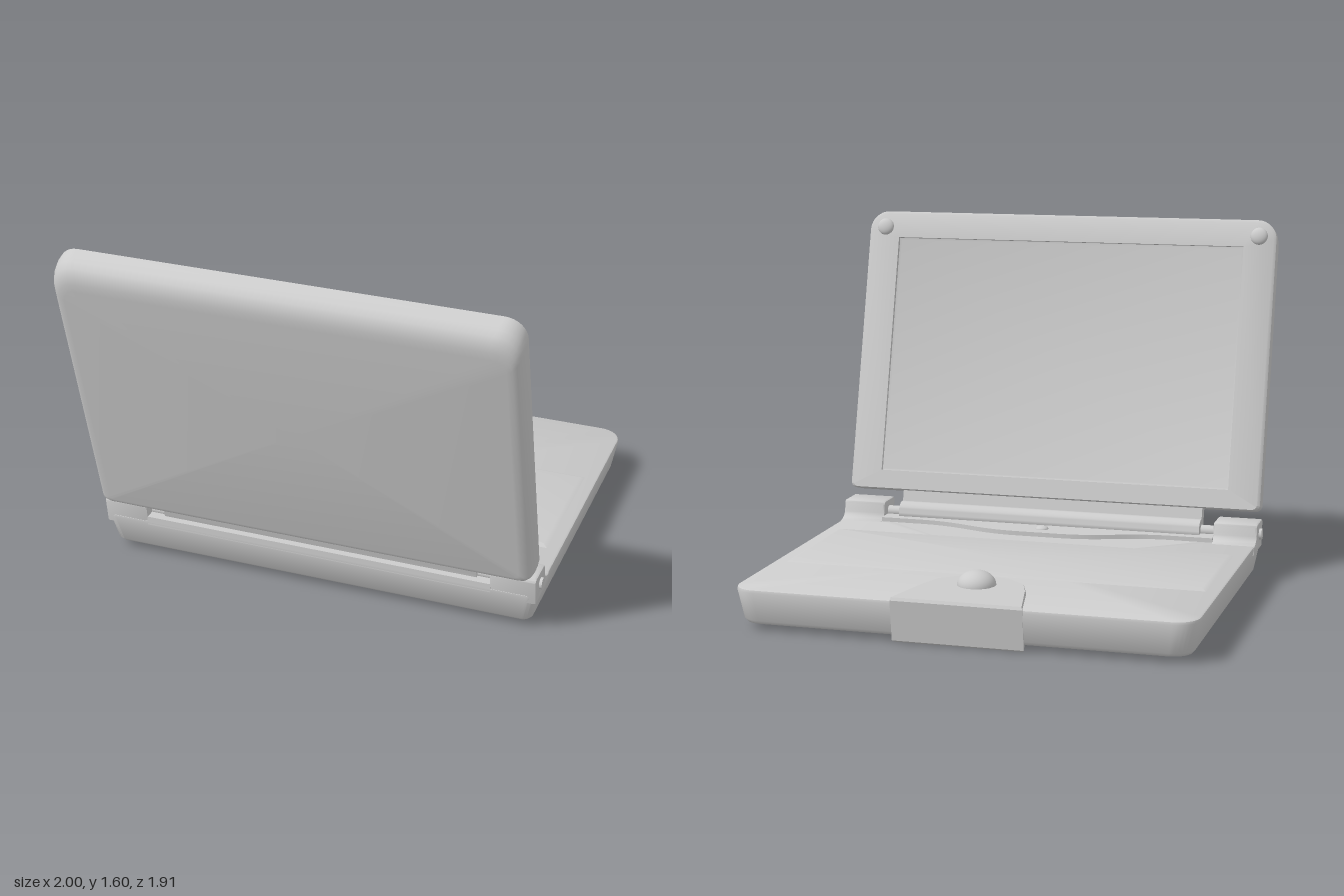
import * as THREE from 'three';
import { toCreasedNormals } from 'three/addons/utils/BufferGeometryUtils.js';

const material = new THREE.MeshStandardMaterial({ color: 0xcccccc });

function add(parent, name, geometry, x = 0, y = 0, z = 0) {
  const mesh = new THREE.Mesh(geometry, material);
  mesh.name = name;
  mesh.position.set(x, y, z);
  parent.add(mesh);
  return mesh;
}

// Counter-clockwise rectangle with separate radii for the low and high corners
function ring(level, x, low, high, rLow, rHigh, steps = 8) {
  const points = [];
  const corners = [[x, high, rHigh], [-x, high, rHigh], [-x, low, rLow], [x, low, rLow]];
  corners.forEach(([cx, cy, r], q) => {
    for (let i = 0; i <= steps; i++) {
      const a = (q + i / steps) * Math.PI / 2;
      points.push([
        cx - Math.sign(cx) * r + r * Math.cos(a),
        cy + (cy === high ? -r : r) + r * Math.sin(a),
        level,
      ]);
    }
  });
  return points;
}

// Skin a stack of equal-length rings along +z and cap both ends
function loft(rings, crease = 0.6) {
  const n = rings[0].length;
  const positions = rings.flat(2);
  const index = [];
  for (let k = 0; k < rings.length - 1; k++) {
    for (let i = 0; i < n; i++) {
      const a = k * n + i, b = k * n + (i + 1) % n;
      index.push(a, b, b + n, a, b + n, a + n);
    }
  }
  [0, rings.length - 1].forEach((k, end) => {
    const c = positions.length / 3;
    for (let d = 0; d < 3; d++) positions.push(rings[k].reduce((s, p) => s + p[d], 0) / n);
    for (let i = 0; i < n; i++) {
      const a = k * n + i, b = k * n + (i + 1) % n;
      if (end) index.push(c, a, b);
      else index.push(c, b, a);
    }
  });
  const g = new THREE.BufferGeometry();
  g.setAttribute('position', new THREE.Float32BufferAttribute(positions, 3));
  g.setIndex(index);
  return toCreasedNormals(g, crease);
}

// Loft drawn in plan: local y becomes -z, level becomes height
const planLoft = (rings) => loft(rings).rotateX(-Math.PI / 2);

// Low dome standing on y = 0
function dome(radius, height) {
  return new THREE.SphereGeometry(radius, 32, 12, 0, Math.PI * 2, 0, Math.PI / 2)
    .scale(1, height / radius, 1);
}

function rod(radius, length) {
  return new THREE.CylinderGeometry(radius, radius, length, 32).rotateZ(Math.PI / 2);
}

function buildBase(parent) {
  const base = new THREE.Group();
  base.name = 'base';
  parent.add(base);

  // Tapered tray; the plan's low side is the hinge side
  add(base, 'baseBody', planLoft([
    ring(0.022, 0.935, -0.51, 0.895, 0.03, 0.07),
    ring(0.027, 0.95, -0.525, 0.91, 0.035, 0.08),
    ring(0.042, 0.962, -0.54, 0.922, 0.04, 0.09),
    ring(0.165, 0.986, -0.568, 0.944, 0.04, 0.1),
    ring(0.176, 0.984, -0.568, 0.941, 0.04, 0.1),
    ring(0.18, 0.977, -0.565, 0.934, 0.04, 0.095),
  ]));

  // Raised keyboard plate with a bevelled edge
  add(base, 'keyboardPlate', planLoft([
    ring(0.17, 0.93, -0.185, 0.46, 0.003, 0.003, 1),
    ring(0.179, 0.93, -0.185, 0.46, 0.003, 0.003, 1),
    ring(0.188, 0.908, -0.163, 0.438, 0.003, 0.003, 1),
  ]));

  // Hinge cover with a curved front edge
  const cover = new THREE.Shape();
  cover.moveTo(0.79, -0.568);
  cover.lineTo(0.79, -0.395);
  cover.lineTo(0.58, -0.395);
  cover.bezierCurveTo(0.36, -0.385, 0.32, -0.295, 0.1, -0.292);
  cover.lineTo(-0.1, -0.292);
  cover.bezierCurveTo(-0.32, -0.295, -0.36, -0.385, -0.58, -0.395);
  cover.lineTo(-0.79, -0.395);
  cover.lineTo(-0.79, -0.568);
  const coverGeo = new THREE.ExtrudeGeometry(cover, { depth: 0.04, bevelEnabled: false, curveSegments: 16 });
  add(base, 'hingeCover', toCreasedNormals(coverGeo.rotateX(-Math.PI / 2), 0.5), 0, 0.16, 0);
  add(base, 'powerButton', dome(0.03, 0.016), 0, 0.199, 0.37);

  // Hinge housings at both rear corners
  const profile = new THREE.Shape();
  profile.moveTo(0.562, 0.14);
  profile.lineTo(0.577, 0.245);
  profile.quadraticCurveTo(0.578, 0.263, 0.56, 0.265);
  profile.lineTo(0.45, 0.265);
  profile.quadraticCurveTo(0.434, 0.265, 0.433, 0.25);
  profile.lineTo(0.428, 0.22);
  profile.quadraticCurveTo(0.42, 0.182, 0.36, 0.179);
  profile.lineTo(0.36, 0.14);
  const housing = new THREE.ExtrudeGeometry(profile, {
    depth: 0.18, bevelThickness: 0.01, bevelSize: 0.006, bevelOffset: -0.006, bevelSegments: 3, curveSegments: 8,
  });
  housing.translate(0, 0, -0.09).rotateY(-Math.PI / 2).scale(1, 1, 1);
  const housingGeo = toCreasedNormals(housing, 0.6);
  for (const s of [1, -1]) add(base, 'hingeHousing', housingGeo, s * 0.888, 0, 0);
  add(base, 'hingePin', rod(0.025, 2), 0, 0.21, 0.5);
}

function buildLatch(parent) {
  // Tapered tongue wrapping the front edge, with a round knob
  const latch = new THREE.Group();
  latch.name = 'latch';
  parent.add(latch);
  const outline = (level, front, inset) => {
    const half = [[0.28, front], [0.225, 0.7], [0.19, 0.6], [0.11, 0.53]];
    const right = half.map(([x, y]) => [x - inset, y + (y < front ? inset : 0), level]);
    const left = right.map(([x, y, l]) => [-x, y, l]);
    return [right[0], ...left, [0, 0.51 + inset, level], ...right.slice(1).reverse()];
  };
  add(latch, 'latchTongue', planLoft([
    outline(0, 0.92, 0.006),
    outline(0.008, 0.932, 0),
    outline(0.182, 0.957, 0),
    outline(0.195, 0.95, 0.004),
  ]));
  add(latch, 'latchKnob', dome(0.082, 0.062), 0, 0.194, -0.66);
}

function buildLid(parent) {
  // Lid turns about the hinge pin and leans back
  const lid = new THREE.Group();
  lid.name = 'lid';
  lid.position.set(0, 0.21, 0.5);
  lid.rotation.x = 0.26;
  parent.add(lid);

  // Shell running from the sunken screen, over the bezel, to the outer face
  add(lid, 'lidShell', loft([
    ring(-0.002, 0.825, 0.2, 1.3, 0.002, 0.002),
    ring(-0.006, 0.835, 0.19, 1.31, 0.002, 0.002),
    ring(-0.024, 0.835, 0.19, 1.31, 0.002, 0.002),
    ring(-0.024, 0.972, 0.105, 1.422, 0.025, 0.08),
    ring(-0.014, 0.984, 0.1, 1.436, 0.03, 0.09),
    ring(0.02, 0.987, 0.1, 1.435, 0.03, 0.095),
    ring(0.055, 0.985, 0.1, 1.426, 0.03, 0.1),
    ring(0.08, 0.979, 0.1, 1.41, 0.03, 0.1),
    ring(0.098, 0.968, 0.103, 1.386, 0.03, 0.095),
    ring(0.107, 0.952, 0.11, 1.35, 0.025, 0.08),
    ring(0.11, 0.93, 0.125, 1.315, 0.02, 0.06),
  ], 0.7));

  // Neck and barrel joining the lid to the hinge
  add(lid, 'hingeNeck', new THREE.BoxGeometry(1.44, 0.13, 0.05), 0, 0.065, 0.012);
  add(lid, 'hingeBarrel', toCreasedNormals(rod(0.05, 1.44), 0.6), 0, 0, -0.012);

  // Bumpers in the upper bezel corners
  for (const s of [1, -1]) {
    add(lid, 'bumper', dome(0.04, 0.022), s * 0.905, 1.36, -0.023).rotation.x = -Math.PI / 2;
  }
}

export function createModel() {
  const model = new THREE.Group();
  model.name = 'laptop';
  buildBase(model);
  buildLatch(model);
  buildLid(model);
  return model;
}
